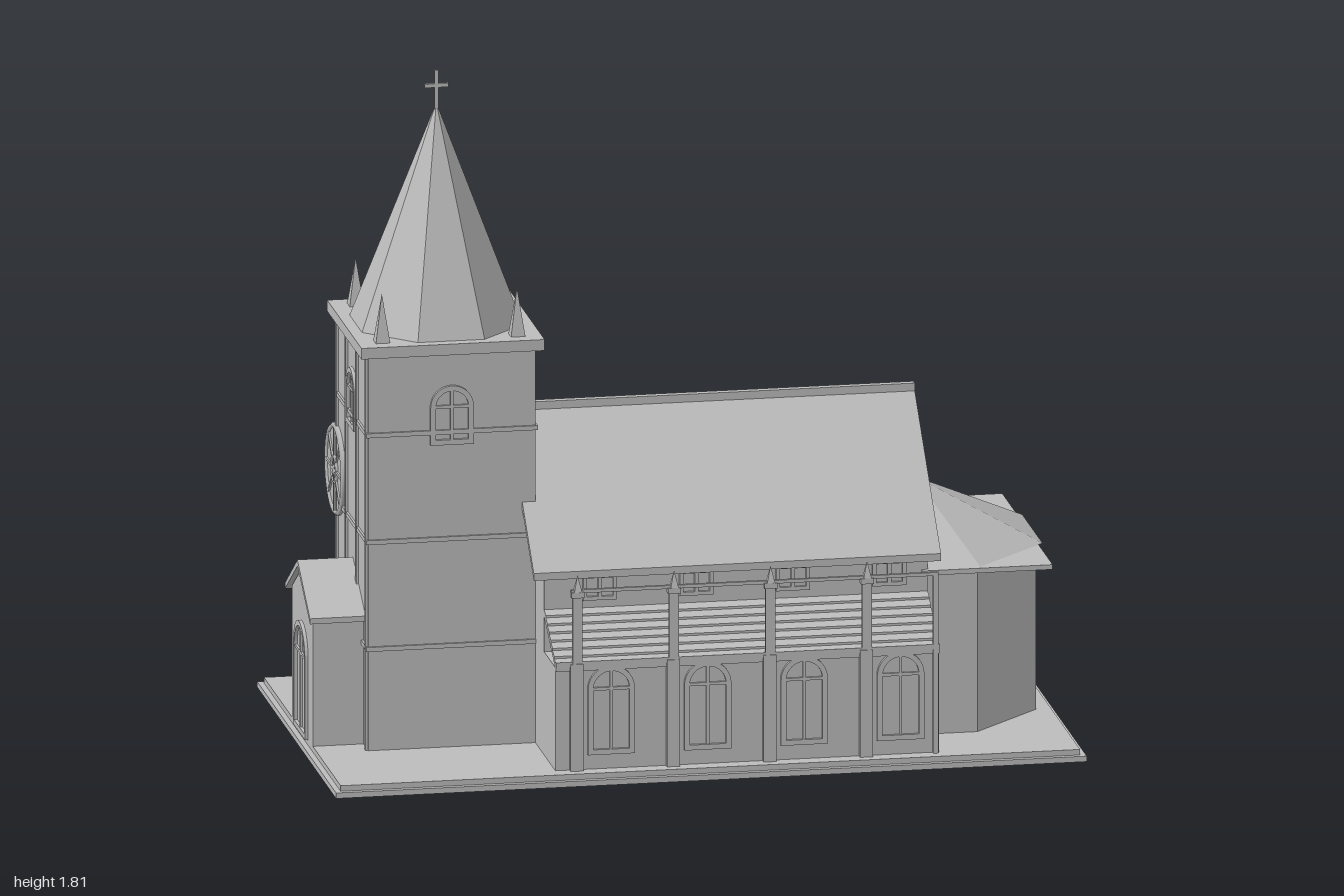
import * as THREE from 'three';

const stone = new THREE.MeshStandardMaterial({ color: 0xbcbcbc });
stone.name = 'stone grey';

export function createModel() {
  const root = new THREE.Group();
  root.name = 'church';

  const add = (name, geo, parent = root) => {
    const m = new THREE.Mesh(geo, stone);
    m.name = name;
    parent.add(m);
    return m;
  };
  // box given by its extents
  const box = (name, x0, x1, y0, y1, z0, z1, parent = root) => {
    const m = add(name, new THREE.BoxGeometry(x1 - x0, y1 - y0, z1 - z0), parent);
    m.position.set((x0 + x1) / 2, (y0 + y1) / 2, (z0 + z1) / 2);
    return m;
  };
  const polygon = (pts) => new THREE.Shape(pts.map((p) => new THREE.Vector2(p[0], p[1])));
  // profile of [z, y] points swept along x
  const sweepX = (name, pts, x0, x1) => {
    const g = new THREE.ExtrudeGeometry(polygon(pts.map(([z, y]) => [-z, y])), { depth: x1 - x0, bevelEnabled: false });
    g.rotateY(Math.PI / 2);
    g.translate(x0, 0, 0);
    return add(name, g);
  };
  // plan of [x, z] points raised along y
  const raise = (name, pts, y0, y1) => {
    const g = new THREE.ExtrudeGeometry(polygon(pts.map(([x, z]) => [x, -z])), { depth: y1 - y0, bevelEnabled: false });
    g.rotateX(-Math.PI / 2);
    g.translate(0, y0, 0);
    return add(name, g);
  };
  const arch = (w, h, C = THREE.Shape) => {
    const s = new C(), r = w / 2;
    s.moveTo(-r, 0);
    s.lineTo(r, 0);
    s.lineTo(r, h - r);
    s.absarc(0, h - r, r, 0, Math.PI, false);
    s.lineTo(-r, 0);
    return s;
  };
  // arched frame with mullions, placed on a wall; turn is the direction it faces
  const archWindow = (name, w, h, x, y, z, turn) => {
    const g = new THREE.Group(), t = 0.014;
    g.name = name;
    const frame = arch(w, h);
    const hole = arch(w - 2 * t, h - 2 * t, THREE.Path);
    frame.holes.push(new THREE.Path(hole.getPoints(10).map((p) => p.add(new THREE.Vector2(0, t)))));
    add('frame', new THREE.ExtrudeGeometry(frame, { depth: 0.009, bevelEnabled: false, curveSegments: 10 }), g);
    box('mullion', -0.004, 0.004, t, h - t, 0, 0.006, g);
    box('transom', -w / 2 + t, w / 2 - t, h - w / 2 - 0.004, h - w / 2 + 0.004, 0, 0.006, g);
    g.position.set(x, y, z);
    g.rotation.y = turn;
    root.add(g);
  };

  // stepped base
  box('baseSlab', -1, 1, 0, 0.015, -0.563, 0.563);
  box('baseStep', -0.985, 0.985, 0.015, 0.03, -0.548, 0.548);

  // tower
  const tx = -0.628;
  box('tower', -0.85, -0.405, 0.03, 1.1, -0.22, 0.22);
  for (const y of [0.3, 0.59, 0.88]) box('stringCourse', -0.856, -0.399, y, y + 0.012, -0.226, 0.226);
  box('towerCornice', -0.873, -0.385, 1.1, 1.13, -0.245, 0.245);
  for (const z of [-0.21, -0.075, 0.075, 0.21]) box('towerStrip', -0.857, -0.85, 0.03, 1.1, z - 0.007, z + 0.007);
  archWindow('towerWindow', 0.115, 0.16, tx, 0.852, 0.22, 0);
  archWindow('towerWindow', 0.115, 0.16, tx, 0.852, -0.22, Math.PI);
  archWindow('towerWindow', 0.115, 0.16, -0.405, 0.852, 0, Math.PI / 2);
  archWindow('towerWindow', 0.115, 0.16, -0.85, 0.852, 0, -Math.PI / 2);

  // eight sided spire with corner pinnacles and cross
  const spire = new THREE.ConeGeometry(0.232, 0.59, 8, 1, false, Math.PI / 8).toNonIndexed();
  spire.computeVertexNormals();
  add('spire', spire).position.set(tx, 1.425, 0);
  const spike = (name, r, h, x, y, z) => {
    const g = new THREE.ConeGeometry(r, h, 4, 1, false, Math.PI / 4).toNonIndexed();
    g.computeVertexNormals();
    add(name, g).position.set(x, y + h / 2, z);
  };
  for (const dx of [-0.18, 0.18]) for (const z of [-0.187, 0.187]) {
    spike('towerPinnacle', 0.027, 0.13, tx + dx, 1.13, z);
  }
  box('crossPost', tx - 0.005, tx + 0.005, 1.7, 1.808, -0.005, 0.005);
  box('crossArm', tx - 0.032, tx + 0.032, 1.762, 1.772, -0.005, 0.005);

  // round window on the tower's west side
  const rose = new THREE.Group();
  rose.name = 'roseWindow';
  const disc = add('disc', new THREE.CylinderGeometry(0.123, 0.123, 0.006, 40), rose);
  disc.rotation.x = Math.PI / 2;
  for (const r of [0.116, 0.035]) add('ring', new THREE.TorusGeometry(r, 0.007, 4, 40), rose).position.z = 0.003;
  for (let i = 0; i < 4; i++) {
    box('spoke', -0.115, 0.115, -0.004, 0.004, 0, 0.008, rose).rotation.z = (i * Math.PI) / 4;
  }
  rose.position.set(-0.853, 0.677, -0.222);
  rose.rotation.y = -Math.PI / 2;
  root.add(rose);

  // porch
  sweepX('porch', [[-0.15, 0.03], [0.15, 0.03], [0.15, 0.385], [0, 0.475], [-0.15, 0.385]], -0.985, -0.85);
  sweepX('porchRoof', [[-0.18, 0.37], [0, 0.48], [0.18, 0.37], [0.18, 0.385], [0, 0.497], [-0.18, 0.385]], -0.998, -0.85);
  archWindow('porchDoor', 0.17, 0.3, -0.985, 0.03, 0, -Math.PI / 2);

  // nave with an open gabled roof
  box('nave', -0.405, 0.617, 0.03, 0.53, -0.344, 0.344);
  sweepX('naveRoof', [[-0.385, 0.515], [0, 0.862], [0.385, 0.515], [0.385, 0.535], [0, 0.885], [-0.385, 0.535]], -0.44, 0.645);
  box('ridgeCap', -0.44, 0.645, 0.86, 0.897, -0.01, 0.01);

  // aisles, mirrored front and back
  for (const s of [1, -1]) {
    const span = (a, b) => (s > 0 ? [a, b] : [-b, -a]);
    const turn = s > 0 ? 0 : Math.PI;
    box('aisle', -0.405, 0.617, 0.03, 0.31, ...span(0.34, 0.505));
    // stepped tile rows
    const rows = 7, lean = [[0.344, 0.405]];
    for (let i = 0; i <= rows; i++) lean.push([0.344 + (0.17 * i) / rows, 0.424 - (0.11 * i) / rows]);
    lean.push([0.514, 0.3]);
    const tiles = [lean[0], lean[1]];
    for (let i = 1; i <= rows; i++) {
      const [z, y] = lean[i + 1];
      tiles.push([z, y + 0.006], [z, y]);
    }
    tiles.push([0.514, 0.3]);
    sweepX('aisleRoof', tiles.map(([z, y]) => [s * z, y]), -0.405, 0.617);

    for (let i = 0; i < 4; i++) {
      const x = -0.257 + i * 0.257, p = x - 0.09;
      archWindow('aisleWindow', 0.125, 0.24, x, 0.07, s * 0.505, turn);
      // small upper window
      const z = span(0.344, 0.352);
      box('clerestorySill', x - 0.045, x + 0.045, 0.445, 0.455, ...z);
      box('clerestoryHead', x - 0.045, x + 0.045, 0.505, 0.515, ...z);
      for (const dx of [-0.04, 0, 0.04]) box('clerestoryBar', x + dx - 0.005, x + dx + 0.005, 0.455, 0.505, ...z);
      // buttress post with pinnacle
      box('buttressFoot', p - 0.02, p + 0.014, 0.03, 0.32, ...span(0.5, 0.521));
      box('buttressPost', p - 0.014, p + 0.012, 0.32, 0.5, ...span(0.505, 0.518));
      box('buttressCap', p - 0.018, p + 0.016, 0.5, 0.515, ...span(0.5, 0.523));
      spike('buttressPinnacle', 0.015, 0.045, p, 0.515, s * 0.512);
    }
    box('endPost', 0.6, 0.614, 0.03, 0.52, ...span(0.507, 0.517));
    box('topRail', -0.365, 0.614, 0.512, 0.521, ...span(0.507, 0.517));
    box('eaveRail', -0.405, 0.617, 0.312, 0.326, ...span(0.505, 0.517));
  }

  // apse
  raise('apse', [[0.6, 0.325], [0.753, 0.325], [0.945, 0.134], [0.945, -0.134], [0.753, -0.325], [0.6, -0.325]], 0.03, 0.47);
  box('apseEavePlate', 0.6, 0.947, 0.47, 0.483, -0.36, 0.36);
  archWindow('apseWindow', 0.1, 0.17, 0.945, 0.15, 0, Math.PI / 2);

  // faceted apse roof, a fan around its apex
  const rim = [[0.617, 0.35], [0.757, 0.345], [0.96, 0.145], [0.96, -0.145], [0.757, -0.345], [0.617, -0.35]];
  const fan = [];
  rim.forEach((a, i) => {
    const b = rim[(i + 1) % rim.length];
    fan.push(a[0], 0.483, a[1], b[0], 0.483, b[1], 0.645, 0.642, 0);
    fan.push(b[0], 0.483, b[1], a[0], 0.483, a[1], 0.75, 0.483, 0);
  });
  const roof = new THREE.BufferGeometry();
  roof.setAttribute('position', new THREE.Float32BufferAttribute(fan, 3));
  roof.computeVertexNormals();
  add('apseRoof', roof);

  return root;
}
